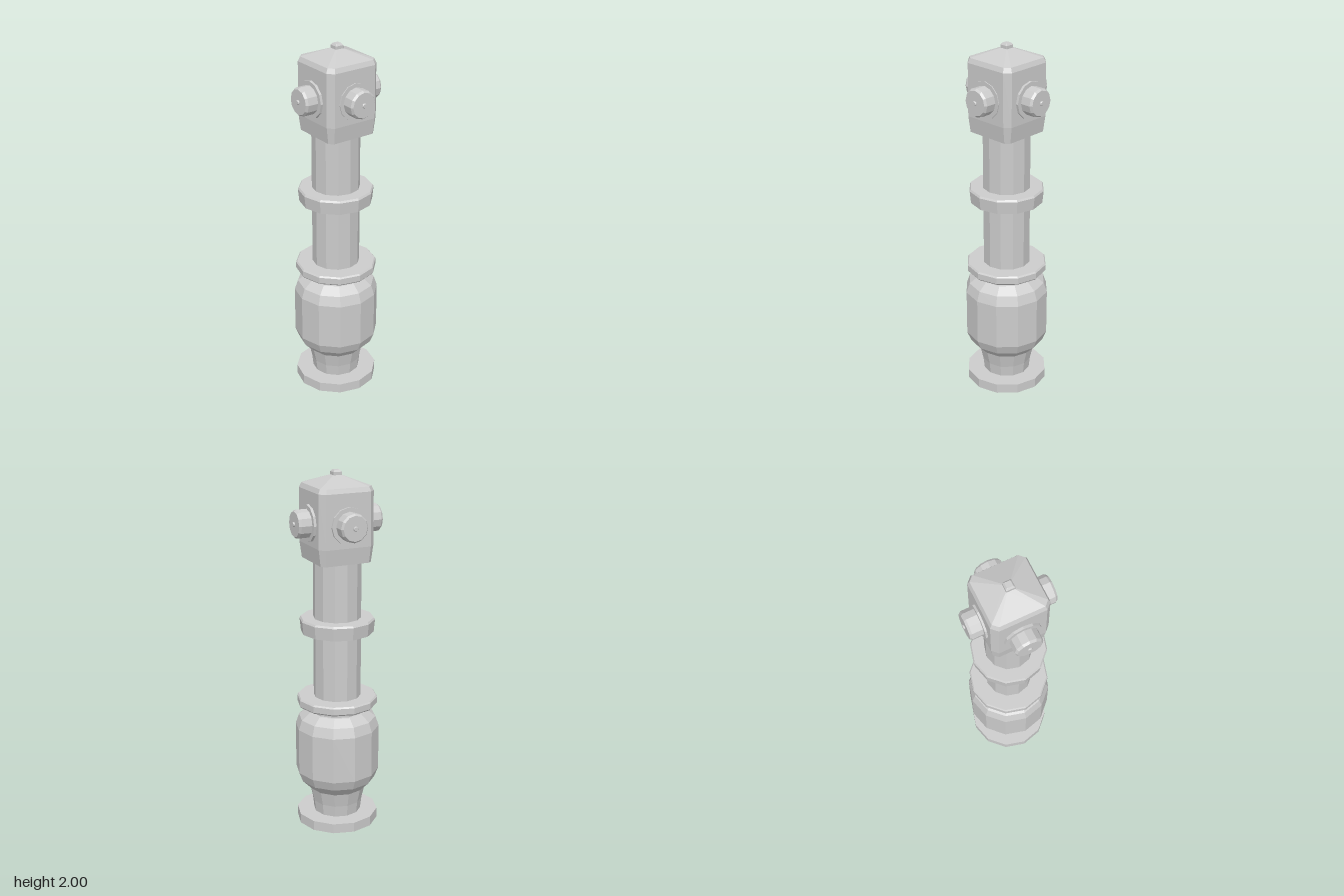
import * as THREE from 'three';

const material = new THREE.MeshStandardMaterial({ color: 0xcccccc, flatShading: true });
const SIDES = 12;

function mesh(name, geometry) {
  const m = new THREE.Mesh(geometry, material);
  m.name = name;
  return m;
}

// Faceted turned part from [radius, height] pairs, listed bottom to top
function turned(name, profile) {
  const points = profile.map(([r, y]) => new THREE.Vector2(r, y));
  const geometry = new THREE.LatheGeometry(points, SIDES).toNonIndexed();
  geometry.computeVertexNormals();
  return mesh(name, geometry);
}

// Square loft with cut corners from [height, half width, corner cut], bottom to top
function squareLoft(name, sections) {
  const rings = sections.map(([y, h, c]) => [
    [h, h - c], [h - c, h], [c - h, h], [-h, h - c],
    [-h, c - h], [c - h, -h], [h - c, -h], [h, c - h],
  ].map(([x, z]) => [x, y, z]));
  const positions = [];
  for (let i = 0; i < rings.length - 1; i++) {
    for (let j = 0; j < 8; j++) {
      const k = (j + 1) % 8;
      const [a, b, c, d] = [rings[i][j], rings[i + 1][j], rings[i + 1][k], rings[i][k]];
      positions.push(...a, ...b, ...c, ...a, ...c, ...d);
    }
  }
  // End faces
  const first = rings[0], last = rings[rings.length - 1];
  for (let j = 1; j < 7; j++) {
    positions.push(...first[0], ...first[j], ...first[j + 1]);
    positions.push(...last[0], ...last[j + 1], ...last[j]);
  }
  const geometry = new THREE.BufferGeometry();
  geometry.setAttribute('position', new THREE.Float32BufferAttribute(positions, 3));
  geometry.computeVertexNormals();
  return mesh(name, geometry);
}

// Outlet pointing along +y, turned outward by the caller
function makeOutlet(inset) {
  const outlet = new THREE.Group();
  outlet.add(
    turned('outletPlate', [[0, 0.14], [0.1, 0.14], [0.1, 0.172 - inset], [0, 0.172 - inset]]),
    turned('outletCap', [[0, 0.15], [0.077, 0.15], [0.077, 0.23 - inset],
      [0.068, 0.242 - inset], [0, 0.242 - inset]]),
    turned('outletNub', [[0.013, 0.23], [0.013, 0.246 - inset], [0.01, 0.25 - inset], [0, 0.25 - inset]]),
  );
  return outlet;
}

export function createModel() {
  const model = new THREE.Group();
  model.name = 'hydrant';

  // Turned body
  const body = new THREE.Group();
  body.name = 'body';
  body.position.set(-0.005, 0, -0.003);
  body.add(
    turned('baseFlange', [[0, 0], [0.228, 0], [0.228, 0.055], [0, 0.055]]),
    turned('bowl', [[0.132, 0.05], [0.14, 0.12], [0.158, 0.2], [0.212, 0.255], [0.234, 0.31],
      [0.234, 0.57], [0.215, 0.625], [0.165, 0.663], [0.155, 0.665], [0.155, 0.705]]),
    turned('collar', [[0, 0.7], [0.217, 0.7], [0.224, 0.708], [0.224, 0.742], [0.217, 0.75], [0, 0.75]]),
    turned('column', [[0.131, 0.74], [0.131, 1.53]]),
    turned('ring', [[0, 1.12], [0.2, 1.12], [0.207, 1.19], [0.2, 1.2], [0, 1.2]]),
  );
  model.add(body);

  // Head with pyramid roof and finial
  model.add(
    squareLoft('head', [[1.52, 0.146, 0.022], [1.61, 0.158, 0.03], [1.9, 0.158, 0.032],
      [1.925, 0.147, 0.026], [1.975, 0.02, 0.003]]),
    squareLoft('finial', [[1.96, 0.024, 0.002], [1.99, 0.024, 0.002], [2.0, 0.016, 0.002]]),
  );

  // Four outlets around the head
  for (let i = 0; i < 4; i++) {
    const outlet = makeOutlet(i % 2 === 0 ? 0.006 : 0);
    outlet.rotation.x = Math.PI / 2;
    const arm = new THREE.Group();
    arm.name = ['frontOutlet', 'leftOutlet', 'backOutlet', 'rightOutlet'][i];
    arm.rotation.y = i * Math.PI / 2;
    arm.position.set(0, 1.73, -0.003);
    arm.add(outlet);
    model.add(arm);
  }
  return model;
}
